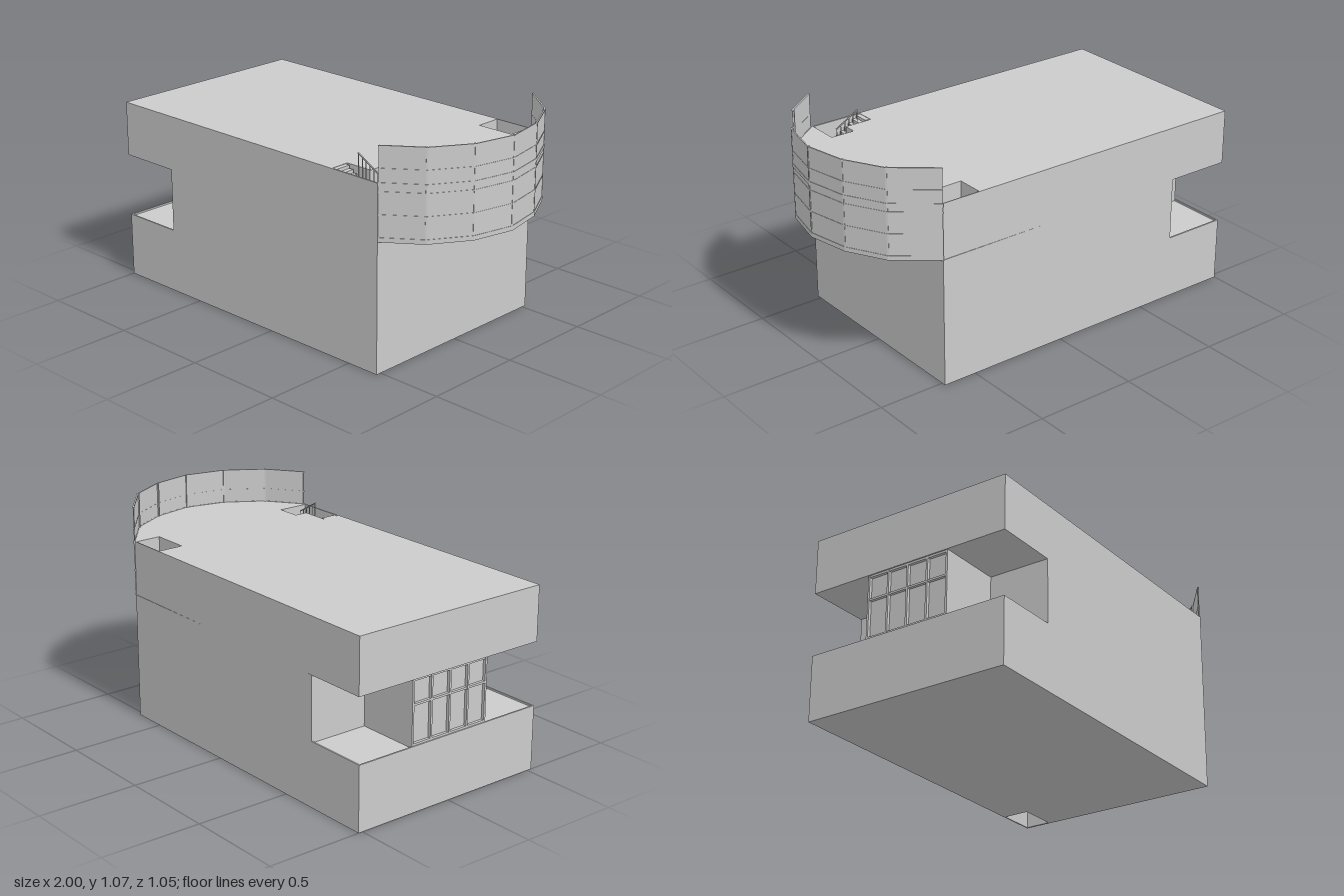
import * as THREE from 'three';

const grey = new THREE.MeshStandardMaterial({ color: 0xcccccc, flatShading: true, side: THREE.DoubleSide });

// plan of the bowed end, as [x, z] from back to front
const BOW = [[0.67, -0.527], [0.86, -0.375], [0.96, -0.19], [1, 0.015], [0.955, 0.22], [0.84, 0.4], [0.67, 0.525]];
const scaleBow = s => BOW.map(([x, z]) => [0.67 + (x - 0.67) * s, z * s]);
const rect = (x0, x1, z0, z1) => [[x0, z0], [x1, z0], [x1, z1], [x0, z1]];

export function createModel() {
  const model = new THREE.Group();

  function add(name, geometry, parent = model) {
    const mesh = new THREE.Mesh(geometry, grey);
    mesh.name = name;
    parent.add(mesh);
    return mesh;
  }
  function group(name) {
    const g = new THREE.Group();
    g.name = name;
    model.add(g);
    return g;
  }
  // box given by its limits
  function block(name, x0, x1, y0, y1, z0, z1, parent) {
    const g = new THREE.BoxGeometry(x1 - x0, y1 - y0, z1 - z0);
    g.translate((x0 + x1) / 2, (y0 + y1) / 2, (z0 + z1) / 2);
    return add(name, g, parent);
  }
  // plan outline in x, z raised from y0 to y1, with optional holes
  function storey(name, plan, y0, y1, holes = [], parent = model) {
    const points = p => p.map(([x, z]) => new THREE.Vector2(x, -z));
    const shape = new THREE.Shape(points(plan));
    holes.forEach(h => shape.holes.push(new THREE.Path(points(h))));
    const g = new THREE.ExtrudeGeometry(shape, { depth: y1 - y0, bevelEnabled: false });
    g.rotateX(-Math.PI / 2).translate(0, y0, 0);
    return add(name, g, parent);
  }

  // storeys; the shaft runs through all of them
  const shaft = rect(0.47, 0.66, -0.515, -0.385);
  const stairWell = [[0.395, 0.517], [0.655, 0.517], [0.655, 0.36], [0.535, 0.36], [0.535, 0.425], [0.395, 0.425]];
  const middle = [
    [-0.68, -0.522], [0.67, -0.522], [0.67, 0.525], [-0.68, 0.525],
    [-0.68, 0.22], [-0.98, 0.22], [-0.98, -0.22], [-0.68, -0.22],
  ];
  storey('lowerStorey', rect(-1, 0.67, -0.522, 0.525), 0, 0.31, [shaft]);
  storey('middleStorey', middle, 0.31, 0.63, [shaft]);
  storey('upperStorey', [[-1, -0.527], ...scaleBow(0.985), [0.67, 0.525], [-1, 0.525]], 0.63, 0.9, [shaft, stairWell]);

  // low kerbs round the two corner terraces
  const kerbs = group('terraceKerbs');
  block('backKerb', -1, -0.68, 0.31, 0.318, -0.522, -0.514, kerbs);
  block('frontKerb', -1, -0.68, 0.31, 0.318, 0.517, 0.525, kerbs);
  block('endKerb', -1, -0.992, 0.31, 0.318, -0.522, 0.525, kerbs);

  // window between the terraces
  const endWindow = group('endWindow');
  for (let i = 0; i <= 4; i++) {
    const z = -0.215 + i * 0.1075;
    block('mullion', -0.995, -0.975, 0.31, 0.63, z - 0.005, z + 0.005, endWindow);
  }
  for (const y of [0.323, 0.51, 0.625])
    block('transom', -0.994, -0.975, y - 0.005, y + 0.005, -0.22, 0.22, endWindow);

  // bowed glazed wall, rising above the roof as a screen
  const bow = group('bowWindow');
  const ring = (name, s0, s1, y0, y1) =>
    storey(name, [...scaleBow(s1), ...scaleBow(s0).reverse()], y0, y1, [], bow);
  ring('glazing', 0.983, 0.994, 0.63, 1.07);
  ring('sill', 0.98, 1, 0.63, 0.652);
  ring('floorBand', 0.98, 1, 0.885, 0.903);
  for (const y of [0.755, 0.86, 0.965, 1.067]) ring('transom', 0.981, 0.999, y - 0.003, y + 0.003);
  for (const [x, z] of BOW.slice(1, -1)) {
    const post = add('mullion', new THREE.BoxGeometry(0.012, 0.44, 0.008), bow);
    post.position.set(x - 0.007 * Math.sign(x), 0.85, z * 0.99);
    post.rotation.y = -Math.atan2(z, x - 0.4);
  }

  // winding stair down from the roof
  const stair = group('stair');
  const rise = 0.015, going = 0.185 / 8;
  let top = 0.9;
  for (let i = 0; i < 8; i++, top -= rise) {
    const x = 0.395 + i * going;
    block('tread', x, x + going, top - 0.03, top - 0.002, 0.435, 0.515, stair);
  }
  const ray = a => {
    const s = Math.sin(a), c = Math.cos(a);
    const t = Math.min(0.073 / Math.max(s, 1e-6), (c > 0 ? 0.085 : 0.068) / Math.max(Math.abs(c), 1e-6));
    return [0.58 + s * t, 0.43 + c * t];
  };
  for (let i = 0; i < 6; i++, top -= rise) {
    const a = i * Math.PI / 6;
    storey('winder', [[0.58, 0.43], ray(a), ray(a + Math.PI / 12), ray(a + Math.PI / 6)], top - 0.03, top, [], stair);
  }
  for (let i = 0; i < 2; i++, top -= rise) {
    const x = 0.58 - i * going;
    block('tread', x - going, x, top - 0.03, top, 0.362, 0.425, stair);
  }

  // sloping handrail with balusters
  const railing = group('stairRailing');
  const railY = x => 0.965 - (x - 0.465) * 0.565;
  const handrail = add('handrail', new THREE.BoxGeometry(0.138, 0.005, 0.006), railing);
  handrail.position.set(0.525, railY(0.525), 0.43);
  handrail.rotation.z = -Math.atan(0.565);
  for (let i = 0; i < 6; i++) {
    const x = 0.467 + i * going;
    block('baluster', x - 0.0015, x + 0.0015, railY(x) - 0.12, railY(x), 0.4285, 0.4315, railing);
  }
  return model;
}
